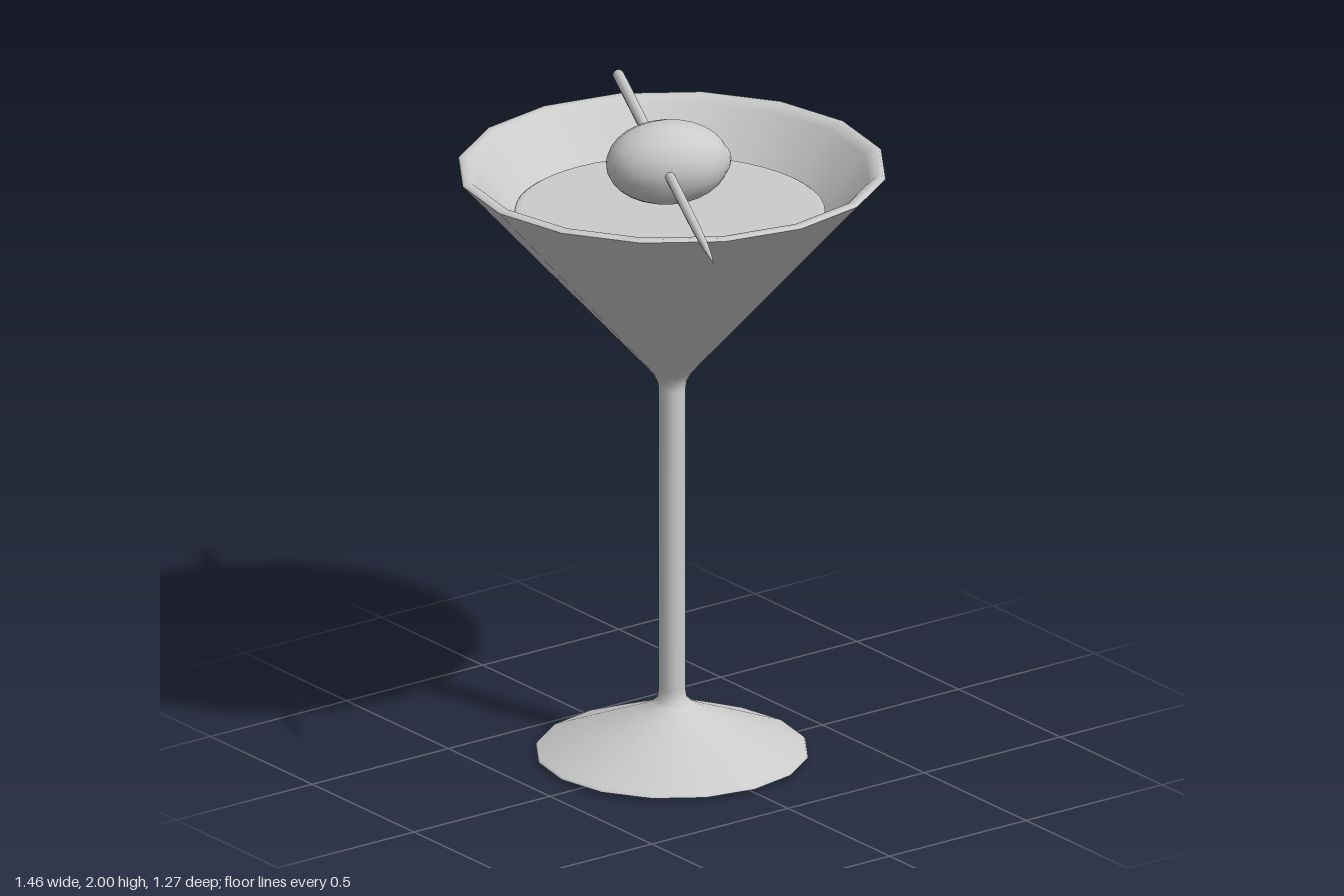
import * as THREE from 'three';

const grey = new THREE.MeshStandardMaterial({ color: 0xcccccc });

function part(name, geometry, parent) {
  const mesh = new THREE.Mesh(geometry, grey);
  mesh.name = name;
  parent.add(mesh);
  return mesh;
}

// Revolve [radius, height] pairs around the vertical axis
function lathe(points, sides) {
  return new THREE.LatheGeometry(points.map(([r, y]) => new THREE.Vector2(r, y)), sides);
}

export function createModel() {
  const model = new THREE.Group();
  model.name = 'cocktailGlass';

  // Glass: separate profiles keep the rim and base edges crisp
  const glass = new THREE.Group();
  glass.name = 'glass';
  glass.position.x = -0.07;
  model.add(glass);
  const sides = 16;
  part('baseUnderside', lathe([[0, 0], [0.22, 0], [0.405, 0.01]], sides), glass);
  part('footStemAndBowl', lathe([
    [0.405, 0.01], [0.4, 0.018], [0.23, 0.088], [0.1, 0.14], [0.06, 0.162], [0.044, 0.18], [0.04, 0.21],
    [0.04, 1.15], [0.044, 1.175], [0.058, 1.2], [0.09, 1.237], [0.36, 1.535], [0.635, 1.84],
  ], sides), glass);
  part('rim', lathe([[0.635, 1.84], [0.627, 1.848], [0.605, 1.846], [0.588, 1.83]], sides), glass);
  part('bowlInside', lathe([[0.588, 1.83], [0.48, 1.71], [0.05, 1.235], [0, 1.22]], sides), glass);

  // Drink: a filled cone with a softly rounded edge
  const drink = part('drink', lathe([
    [0, 1.24], [0.03, 1.25], [0.435, 1.685], [0.457, 1.702], [0.457, 1.708], [0.45, 1.712], [0.435, 1.713], [0, 1.713],
  ], 48), glass);
  drink.position.z = 0.008;

  // Garnish: local x runs along the pick, towards its point
  const garnish = new THREE.Group();
  garnish.name = 'garnish';
  garnish.position.set(0, 1.873, 0.073);
  garnish.rotation.y = -0.466;
  model.add(garnish);

  const pick = lathe([
    [0, -0.817], [0.013, -0.816], [0.017, -0.808], [0.017, -0.6], [0.015, 0.1], [0.014, 0.5], [0.01, 0.66], [0, 0.817],
  ], 10);
  pick.rotateZ(-Math.PI / 2);
  part('pick', pick, garnish);

  // Olive lies across the pick, with its stuffing showing at the back end
  const olive = new THREE.SphereGeometry(1, 18, 14);
  olive.rotateX(Math.PI / 2);
  olive.scale(0.13, 0.127, 0.183);
  part('olive', olive, garnish).position.set(-0.063, 0, -0.015);

  const stuffing = new THREE.SphereGeometry(0.058, 12, 10);
  part('oliveStuffing', stuffing, garnish).position.set(-0.06, 0, -0.147);

  return model;
}
